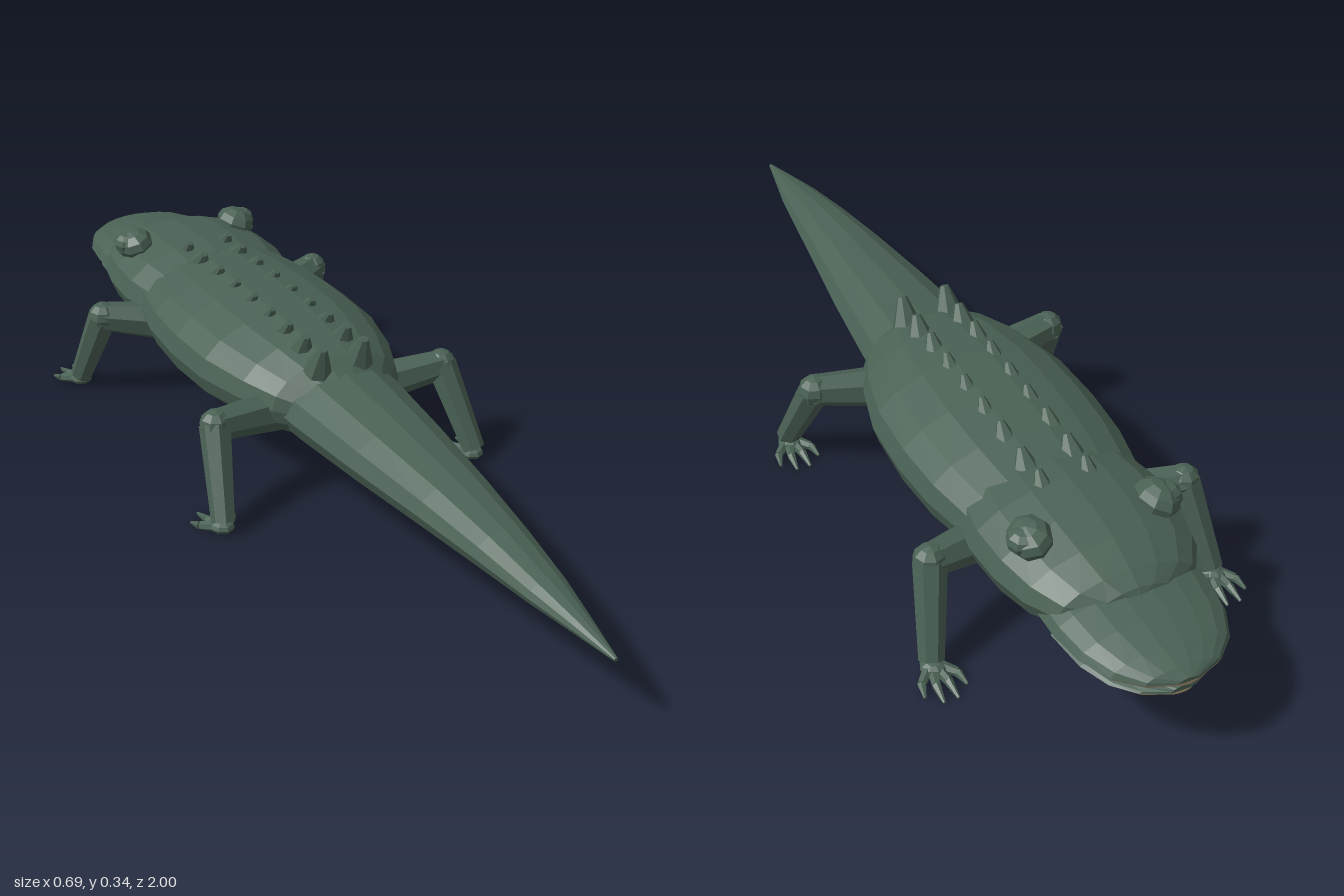
import * as THREE from 'three';

const mat = (name, color) => {
  const m = new THREE.MeshStandardMaterial({ color });
  m.name = name;
  return m;
};

export function createModel() {
  const model = new THREE.Group();
  const green = mat('scale green', 0x4a6154);
  const cream = mat('jaw cream', 0xb0a27a);
  const lining = mat('mouth tan', 0xa58f76);

  // Faceted mesh: every face gets its own normal
  function add(name, geometry, material = green, parent = model) {
    const g = geometry.index ? geometry.toNonIndexed() : geometry;
    g.computeVertexNormals();
    const mesh = new THREE.Mesh(g, material);
    mesh.name = name;
    parent.add(mesh);
    return mesh;
  }

  // Skin over cross-sections [z, halfWidth, bottom, top, middle], z rising
  function loft(rings, sides = 16, from = 0, to = Math.PI * 2) {
    const full = to - from > 6;
    const n = full ? sides : sides + 1;
    const pos = [], idx = [];
    for (const [z, w, yb, yt, ym = (yb + yt) / 2] of rings) {
      for (let j = 0; j < n; j++) {
        const a = from + (to - from) * j / sides, s = Math.sin(a);
        pos.push(w * Math.cos(a), ym + s * (s > 0 ? yt - ym : ym - yb), z);
      }
    }
    const last = (rings.length - 1) * n;
    for (let i = 0; i < last; i += n) {
      for (let j = 0; j < n; j++) {
        const k = (j + 1) % n;
        idx.push(i + j, i + k, i + n + k, i + j, i + n + k, i + n + j);
      }
    }
    for (let j = 1; j < n - 1; j++) {
      idx.push(0, j + 1, j, last, last + j, last + j + 1);
    }
    const g = new THREE.BufferGeometry();
    g.setAttribute('position', new THREE.Float32BufferAttribute(pos, 3));
    g.setIndex(idx);
    return g;
  }

  // Tapered bar between two points
  function bar(name, a, b, ra, rb, sides, parent) {
    const p = new THREE.Vector3(...a), q = new THREE.Vector3(...b);
    const d = q.clone().sub(p);
    const mesh = add(name, new THREE.CylinderGeometry(rb, ra, d.length(), sides), green, parent);
    mesh.position.copy(p).add(q).multiplyScalar(0.5);
    mesh.quaternion.setFromUnitVectors(new THREE.Vector3(0, 1, 0), d.normalize());
  }

  function ball(name, at, r, scale, parent) {
    const mesh = add(name, new THREE.SphereGeometry(r, 8, 6).scale(...scale), green, parent);
    mesh.position.set(...at);
    return mesh;
  }

  // Trunk, tail and skull
  add('body', loft([
    [-0.56, 0.17, 0.13, 0.30], [-0.5, 0.192, 0.115, 0.315], [-0.4, 0.212, 0.102, 0.323],
    [-0.28, 0.22, 0.096, 0.326], [-0.15, 0.215, 0.098, 0.325], [-0.03, 0.185, 0.107, 0.315],
    [0.05, 0.15, 0.12, 0.298], [0.1, 0.1, 0.14, 0.265],
  ], 18));
  add('tail', loft([
    [0.0, 0.135, 0.118, 0.28], [0.1, 0.13, 0.12, 0.272], [0.3, 0.11, 0.126, 0.257],
    [0.5, 0.085, 0.133, 0.24], [0.66, 0.064, 0.138, 0.22], [0.8, 0.044, 0.142, 0.196],
    [0.9, 0.024, 0.144, 0.176], [1.0, 0.004, 0.146, 0.154],
  ], 12));
  add('skull', loft([
    [-0.83, 0.02, 0.2, 0.255], [-0.82, 0.085, 0.18, 0.268], [-0.79, 0.14, 0.162, 0.285],
    [-0.73, 0.177, 0.143, 0.308], [-0.65, 0.196, 0.128, 0.32], [-0.56, 0.2, 0.12, 0.322],
    [-0.49, 0.188, 0.125, 0.315],
  ], 16));

  // Jaws: each has a green upper shell and a pale lower shell
  const upper = [
    [-1.0, 0.02, 0.2, 0.215, 0.207], [-0.98, 0.075, 0.193, 0.226, 0.207],
    [-0.94, 0.118, 0.187, 0.241, 0.207], [-0.88, 0.147, 0.184, 0.252, 0.207],
    [-0.81, 0.158, 0.182, 0.26, 0.207], [-0.74, 0.158, 0.182, 0.262, 0.207],
  ];
  const lower = [
    [-0.982, 0.02, 0.162, 0.178, 0.168], [-0.96, 0.07, 0.156, 0.179, 0.168],
    [-0.92, 0.108, 0.152, 0.18, 0.168], [-0.86, 0.132, 0.148, 0.181, 0.168],
    [-0.77, 0.142, 0.147, 0.184, 0.168],
  ];
  add('upperJaw', loft(upper, 9, 0, Math.PI));
  add('mouthLining', loft(upper, 9, Math.PI, Math.PI * 2), lining);
  add('lowerJaw', loft(lower, 9, 0, Math.PI));
  add('chin', loft(lower, 9, Math.PI, Math.PI * 2), cream);

  // Back scutes [z, base radius, base height, tip height]
  const scutes = [
    [-0.55, 0.022, 0.3, 0.338], [-0.48, 0.026, 0.3, 0.338], [-0.395, 0.023, 0.305, 0.34],
    [-0.315, 0.021, 0.305, 0.34], [-0.235, 0.021, 0.305, 0.34], [-0.155, 0.021, 0.305, 0.34],
    [-0.08, 0.024, 0.3, 0.34], [-0.01, 0.029, 0.29, 0.34], [0.06, 0.032, 0.278, 0.341],
  ];

  for (const s of [1, -1]) {
    const side = s > 0 ? 'left' : 'right';

    for (const [z, r, y0, y1] of scutes) {
      bar('scute', [s * 0.048, y0, z - 0.004], [s * 0.048, y1 - 0.004, z + 0.02], r, r * 0.3, 7, model);
    }

    // Raised eye with a small outer bulge
    const eye = new THREE.Group();
    eye.name = side + 'Eye';
    model.add(eye);
    ball('eyeMound', [s * 0.13, 0.302, -0.658], 0.042, [1, 0.78, 1.2], eye).rotation.z = -s * 0.35;
    ball('eyeball', [s * 0.148, 0.305, -0.662], 0.029, [1, 0.85, 1.1], eye);

    // Legs: the feet of both pairs point forward, toward -z
    for (const [pair, hip, knee, ankle] of [
      ['front', [0.13, 0.175, -0.49], [0.268, 0.2, -0.535], [0.3, 0.028, -0.61]],
      ['hind', [0.1, 0.18, 0.0], [0.268, 0.2, 0.03], [0.3, 0.028, 0.12]],
    ]) {
      const leg = new THREE.Group();
      leg.name = side + pair[0].toUpperCase() + pair.slice(1) + 'Leg';
      model.add(leg);
      const flip = ([x, y, z]) => [s * x, y, z];
      bar('thigh', flip(hip), flip(knee), 0.046, 0.033, 7, leg);
      ball('knee', flip(knee), 0.034, [1, 1, 1], leg);
      bar('shin', flip(knee), flip(ankle), 0.034, 0.025, 7, leg);
      const [x, , z] = ankle;
      ball('foot', [s * x, 0.017, z - 0.008], 0.026, [1, 0.55, 1.1], leg);
      for (const [dx, dz] of [[-0.043, -0.065], [-0.014, -0.09], [0.015, -0.09], [0.042, -0.065]]) {
        const mid = [s * (x + dx * 0.85), 0.012, z + dz * 0.55];
        bar('toe', [s * (x + dx * 0.2), 0.017, z - 0.008], mid, 0.012, 0.009, 6, leg);
        bar('claw', mid, [s * (x + dx), 0.005, z + dz], 0.009, 0.003, 6, leg);
      }
    }
  }
  return model;
}
